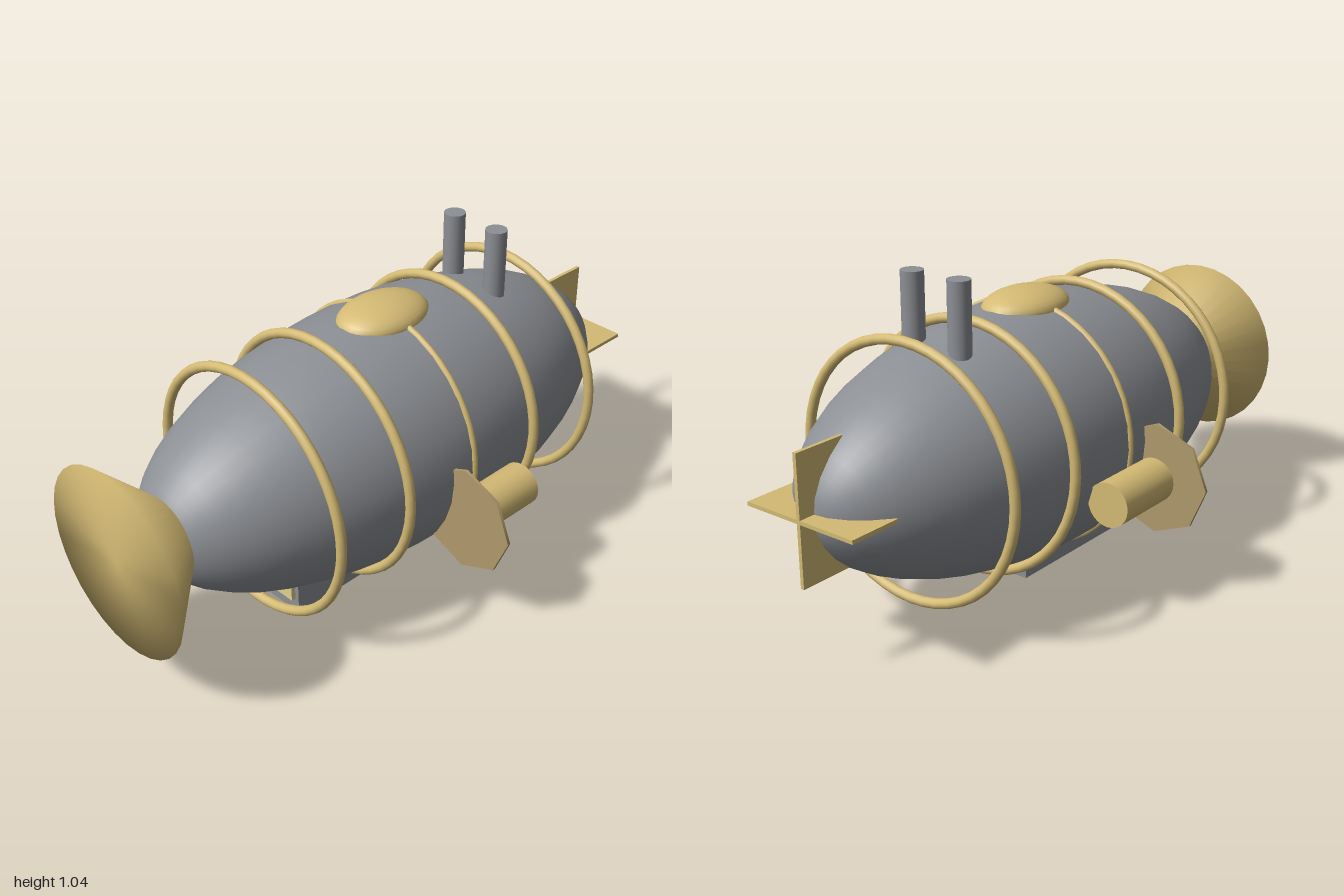
import * as THREE from 'three';

const steel = new THREE.MeshStandardMaterial({ color: 0x8c8f94 });
const brass = new THREE.MeshStandardMaterial({ color: 0xd4ba74 });
const bronze = new THREE.MeshStandardMaterial({ color: 0xb09a6c });
const glass = new THREE.MeshStandardMaterial({ color: 0xe0d08e });

const AXIS_Y = 0.48; // height of the hull's long axis
const MID_Z = -0.03; // middle of the hull

export function createModel() {
  const model = new THREE.Group();
  model.name = 'submarine';

  const add = (name, geometry, material, x, y, z) => {
    const mesh = new THREE.Mesh(geometry, material);
    mesh.name = name;
    mesh.position.set(x, y, z);
    model.add(mesh);
    return mesh;
  };
  // Cylinder lying along z
  const cylinderZ = (r, length, sides) =>
    new THREE.CylinderGeometry(r, r, length, sides).rotateX(Math.PI / 2);

  // Hull: long ellipsoid with its poles at bow and stern
  add('hull', new THREE.SphereGeometry(1, 32, 24).rotateX(Math.PI / 2).scale(0.4, 0.4, 0.92),
    steel, 0, AXIS_Y, MID_Z);

  // Nose: cone flaring forward to a closed, softly shaded face
  const noseProfile = [[0, 0], [0.3, 0.3], [0, 0.3]].map(([r, h]) => new THREE.Vector2(r, h));
  add('noseCone', new THREE.LatheGeometry(noseProfile, 32).rotateX(Math.PI / 2),
    brass, 0, AXIS_Y, 0.7);

  // Hoops around the hull, the middle one slimmer
  for (const z of [0.52, 0.245, MID_Z, -0.305, -0.58]) {
    const tube = z === MID_Z ? 0.011 : 0.016;
    add('hoop', new THREE.TorusGeometry(0.397, tube, 12, 48), brass, 0, AXIS_Y, z);
  }

  // Hatch dome on top
  add('hatch', new THREE.SphereGeometry(1, 32, 16).scale(0.117, 0.06, 0.165),
    brass, 0, 0.86, MID_Z);

  // Keel cabin with front window
  add('cabin', new THREE.BoxGeometry(0.18, 0.13, 0.57), steel, 0, 0.065, 0.14);
  add('cabinWindow', new THREE.BoxGeometry(0.15, 0.08, 0.03), glass, 0, 0.09, 0.425);

  // Paired chimneys, engine pods and eight-sided propeller discs
  for (const side of [-1, 1]) {
    add('chimney', new THREE.CylinderGeometry(0.035, 0.035, 0.24, 20), steel, side * 0.088, 0.92, -0.44);
    add('enginePod', cylinderZ(0.07, 0.245, 24), brass, side * 0.44, 0.37, -0.082);
    add('propellerDisc', cylinderZ(0.177, 0.01, 8), bronze, side * 0.44, 0.37, 0.055);
  }

  // Crossed tail fins
  add('verticalFin', new THREE.BoxGeometry(0.012, 0.395, 0.17), brass, 0, AXIS_Y, -0.915);
  add('horizontalFin', new THREE.BoxGeometry(0.4, 0.012, 0.17), brass, 0, AXIS_Y, -0.915);

  return model;
}
